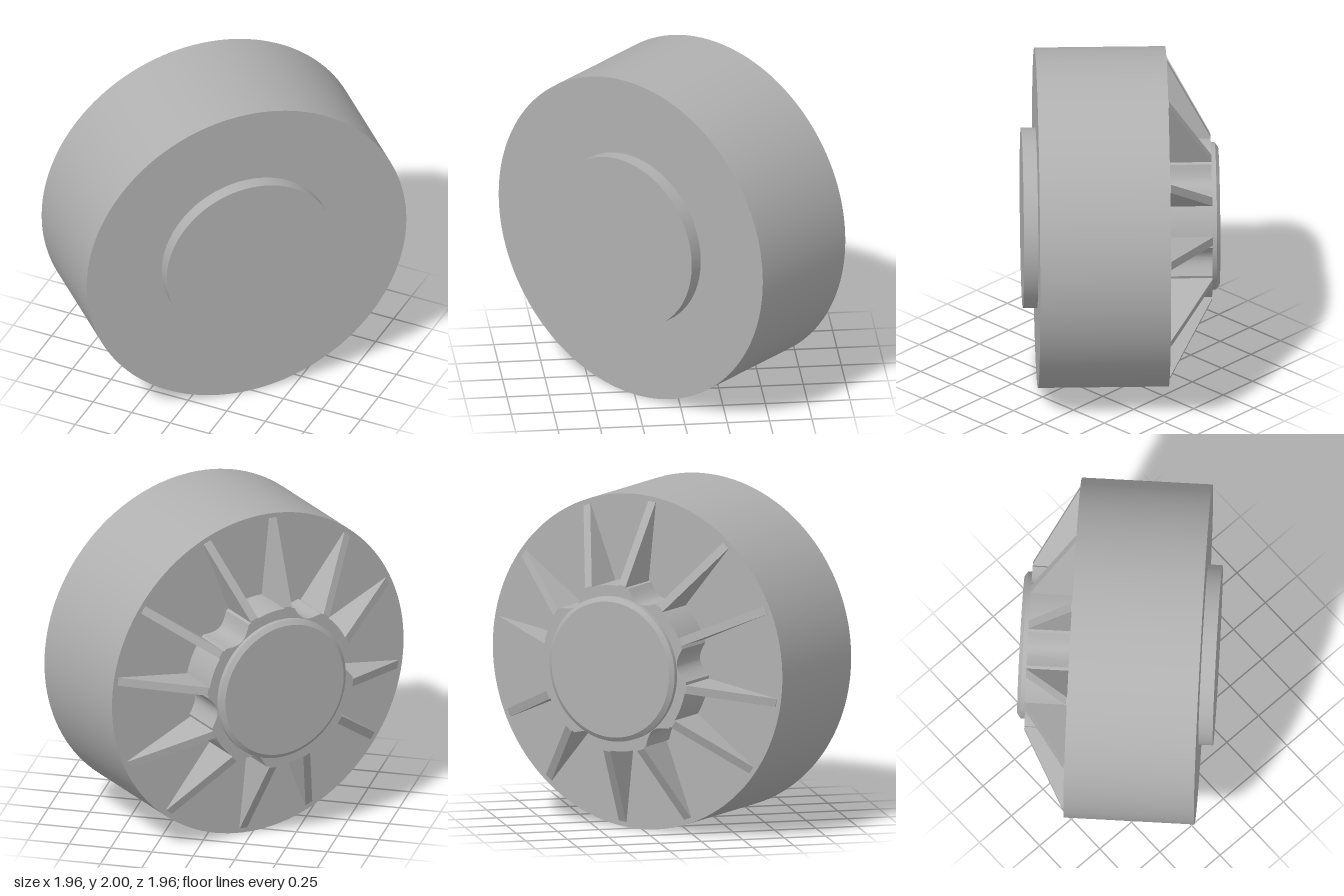
import * as THREE from 'three';
import { toCreasedNormals } from 'three/addons/utils/BufferGeometryUtils.js';

const DEG = Math.PI / 180;

export function createModel() {
  const grey = new THREE.MeshStandardMaterial({ color: 0xb0b0b0 });
  grey.name = 'grey';
  const model = new THREE.Group();
  model.name = 'ribbedDrum';

  const add = (name, geometry) => {
    const mesh = new THREE.Mesh(geometry, grey);
    mesh.name = name;
    model.add(mesh);
    return mesh;
  };
  // Disc along local z, from z0 (back) to z1 (front)
  const disc = (name, rBack, rFront, z0, z1) =>
    add(name, new THREE.CylinderGeometry(rFront, rBack, z1 - z0, 128)
      .rotateX(Math.PI / 2).translate(0, 0, (z0 + z1) / 2));

  // Drum and the raised disc on its front
  disc('drum', 1, 1, -0.385, 0.383);
  disc('frontDisc', 0.53, 0.53, 0.36, 0.467);

  // Hub with six concave flutes
  const points = [];
  const halfFlute = 11.5;
  for (let a = 0; a < 360; a += 1) {
    const d = ((a - 22.5 + 390) % 60) - 30;
    const dip = Math.max(0, 1 - (d / halfFlute) ** 2) * 0.06;
    const r = 0.495 - dip;
    points.push(new THREE.Vector2(-r * Math.sin(a * DEG), r * Math.cos(a * DEG)));
  }
  const hub = new THREE.ExtrudeGeometry(new THREE.Shape(points), { depth: 0.27, bevelEnabled: false });
  add('flutedHub', toCreasedNormals(hub.translate(0, 0, -0.643), 0.35));

  // Chamfered cap on the hub
  disc('capCollar', 0.432, 0.432, -0.67, -0.63);
  disc('capChamfer', 0.405, 0.432, -0.69, -0.67);

  // Twelve tapering ribs, one on each side of every flute
  const profile = new THREE.Shape([
    [0.42, -0.02], [0.97, -0.02], [0.97, 0.005], [0.503, 0.258], [0.42, 0.258],
  ].map(([x, y]) => new THREE.Vector2(x, y)));
  const ribGeometry = new THREE.ExtrudeGeometry(profile, { depth: 0.05, bevelEnabled: false })
    .translate(0, 0, -0.025).rotateX(-Math.PI / 2).translate(0, 0, -0.385);
  for (let i = 0; i < 6; i++) {
    for (const side of [-16.5, 16.5]) {
      add('rib', ribGeometry).rotation.z = (90 + 22.5 + side + i * 60) * DEG;
    }
  }

  model.rotation.y = Math.PI / 4;
  model.position.y = 1;
  const root = new THREE.Group();
  root.add(model);
  return root;
}
